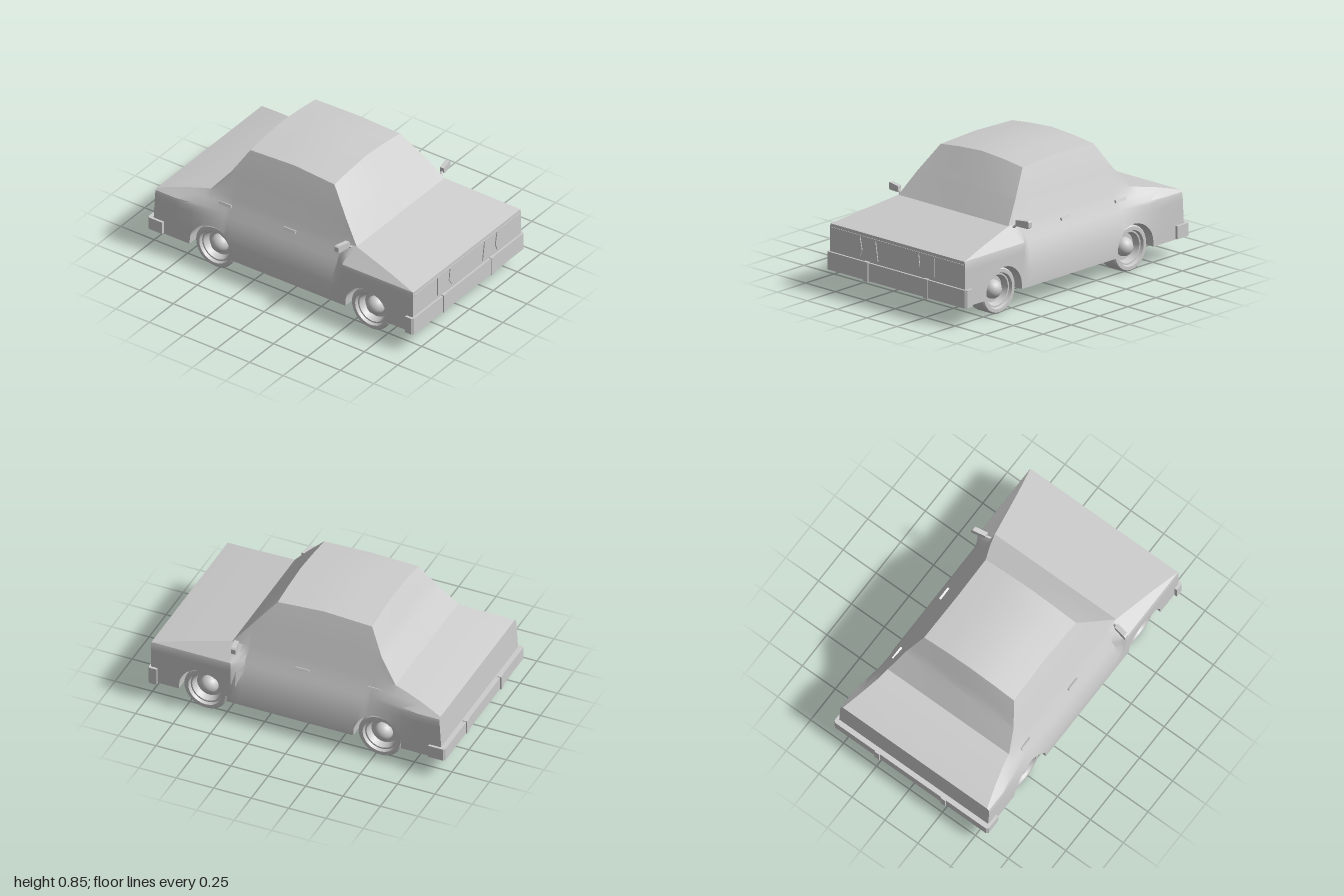
import * as THREE from 'three';
import { toCreasedNormals } from 'three/addons/utils/BufferGeometryUtils.js';

const paint = new THREE.MeshStandardMaterial({ color: 0xcccccc });
paint.name = 'light grey';

const AXLES = [0.635, -0.53], ARCH = 0.16, HUB_Y = 0.147;

// piecewise linear lookup in a table of [key, value] with rising keys
function lerpTable(table, k) {
  if (k <= table[0][0]) return table[0][1];
  for (let i = 1; i < table.length; i++) {
    const [k0, v0] = table[i - 1], [k1, v1] = table[i];
    if (k <= k1) return v0 + (v1 - v0) * (k - k0) / (k1 - k0);
  }
  return table[table.length - 1][1];
}

// side silhouette: [z, height of the upper edge]
const TOP = [[-0.945, 0.432], [-0.8, 0.47], [-0.605, 0.51], [-0.49, 0.65], [-0.395, 0.808], [-0.07, 0.82],
  [0.235, 0.803], [0.368, 0.65], [0.485, 0.51], [0.8, 0.455], [0.98, 0.42]];
// half width by height, at the wings and at the doors
const WING = [[0.13, 0.565], [0.4, 0.565], [0.42, 0.56], [0.46, 0.515], [0.51, 0.46], [0.65, 0.41], [0.82, 0.335]];
const DOOR = [[0.13, 0.565], [0.25, 0.565], [0.36, 0.53], [0.46, 0.483], [0.51, 0.46], [0.65, 0.41], [0.82, 0.335]];
const BLEND = [[-0.8, 1], [-0.45, 0], [0.38, 0], [0.45, 1]];
const LEVELS = [0.25, 0.36, 0.4, 0.42, 0.46, 0.51, 0.65, 0.9];

function halfWidth(y, z) {
  const w = lerpTable(BLEND, z);
  return w * lerpTable(WING, y) + (1 - w) * lerpTable(DOOR, y);
}

function floorY(z) {
  for (const c of AXLES) {
    const d = Math.abs(z - c);
    if (d < ARCH - 1e-4) return 0.15 + Math.sqrt(ARCH * ARCH - d * d);
  }
  return 0.13;
}

// closed cross-section, from the lower left of the car over the roof to the other side
function section(z) {
  const top = lerpTable(TOP, z), low = floorY(z);
  const crown = 0.031 * THREE.MathUtils.clamp((top - 0.51) / 0.29, 0, 1);
  const side = [low, ...LEVELS].map((y) => {
    const h = Math.min(Math.max(y, low), top);
    return [halfWidth(h, z), h];
  });
  const edge = halfWidth(top, z);
  const roof = [0.55, 0, -0.55].map((f) => [edge * f, top + crown * (1 - Math.pow(Math.abs(f), 1.5))]);
  const ring = [...side, ...roof, ...side.slice().reverse().map(([x, y]) => [-x, y])];
  // the tail leans slightly outwards towards the bottom
  return ring.map(([x, y]) => new THREE.Vector3(x, y, z < -0.94 ? z - (0.432 - y) * 0.06 : z));
}

// body shell lofted from front to tail, with wheel tunnels
function bodyGeometry() {
  const zs = TOP.map((p) => p[0]).concat([0.45, 0.42, 0.38, 0.1, -0.25, -0.45]);
  for (const c of AXLES)
    for (let i = 0; i <= 14; i++) zs.push(c + ARCH * Math.cos(Math.PI * i / 14));
  zs.sort((a, b) => b - a);
  const rings = zs.map(section), n = rings[0].length, pos = [];
  const tri = (a, b, c) => {
    const area = b.clone().sub(a).cross(c.clone().sub(a)).length();
    if (area > 1e-8) pos.push(...a, ...b, ...c);
  };
  for (let i = 0; i + 1 < rings.length; i++)
    for (let j = 0; j < n; j++) {
      const k = (j + 1) % n, p = rings[i], q = rings[i + 1];
      tri(p[j], q[j], q[k]);
      tri(p[j], q[k], p[k]);
    }
  const first = rings[0], last = rings[rings.length - 1];
  for (let j = 1; j + 1 < n; j++) {
    tri(first[0], first[j], first[j + 1]);
    tri(last[0], last[j + 1], last[j]);
  }
  const g = new THREE.BufferGeometry();
  g.setAttribute('position', new THREE.Float32BufferAttribute(pos, 3));
  return toCreasedNormals(g, 0.45);
}

function polygon(points) {
  return new THREE.Shape(points.map(([x, y]) => new THREE.Vector2(x, y)));
}

export function createModel() {
  const car = new THREE.Group();
  car.name = 'car';
  const add = (name, geometry, parent = car) => {
    const m = new THREE.Mesh(geometry, paint);
    m.name = name;
    parent.add(m);
    return m;
  };
  const box = (name, w, h, d, x, y, z, parent) => {
    const m = add(name, new THREE.BoxGeometry(w, h, d), parent);
    m.position.set(x, y, z);
    return m;
  };

  add('body', bodyGeometry());

  // wrap-around bumpers: [name, direction, outer z, inner z, end of the wrap, low, high]
  for (const [name, s, out, inn, wrap, low, high] of [
    ['frontBumper', 1, 0.993, 0.972, 0.935, 0.127, 0.242],
    ['rearBumper', -1, 0.99, 0.95, 0.88, 0.137, 0.22]]) {
    const shape = polygon([[-0.585, wrap], [-0.585, out - 0.012], [-0.573, out], [0.573, out], [0.585, out - 0.012],
      [0.585, wrap], [0.568, wrap], [0.568, inn], [-0.568, inn], [-0.568, wrap]].map(([x, z]) => [x, z * s]));
    const g = new THREE.ExtrudeGeometry(shape, { depth: high - low, bevelEnabled: false });
    g.rotateX(Math.PI / 2);
    add(name, g).position.y = high;
    for (const x of [-0.25, 0.25])
      box('overrider', 0.036, high - low + 0.008, 0.03, x, (low + high) / 2, s * (out - 0.008));
  }

  // bonnet lip and the slim ribs beside grille and lamps
  box('bonnetLip', 1.11, 0.008, 0.006, 0, 0.396, 0.981);
  const ribs = [[[0.31, 0.39], [0.31, 0.265], [0.293, 0.31]], [[0.18, 0.39], [0.16, 0.265], [0.19, 0.31]]];
  for (const s of [-1, 1])
    for (const rib of ribs) {
      const g = new THREE.ExtrudeGeometry(polygon(rib.map(([x, y]) => [x * s, y])), { depth: 0.008, bevelEnabled: false });
      add('grilleRib', g).position.z = 0.978;
    }

  // wheels: tyre with dished rim, domed hub
  const profile = [[0, 0.4], [0.13, 0.395], [0.145, 0.405], [0.145, 0.517], [0.137, 0.525], [0.115, 0.525],
    [0.108, 0.505], [0.098, 0.505], [0.085, 0.462], [0, 0.462]];
  const tyre = new THREE.LatheGeometry(profile.map(([r, x]) => new THREE.Vector2(r, x)), 28);
  const wheelGeometry = toCreasedNormals(tyre, 0.5);
  wheelGeometry.rotateZ(-Math.PI / 2);
  const hubGeometry = new THREE.SphereGeometry(0.06, 20, 14);
  for (const z of AXLES) {
    for (const s of [-1, 1]) {
      const wheel = new THREE.Group();
      wheel.name = 'wheel';
      wheel.position.set(0, HUB_Y, z);
      wheel.rotation.y = s > 0 ? 0 : Math.PI;
      add('tyreAndRim', wheelGeometry, wheel);
      add('hub', hubGeometry, wheel).position.x = 0.465;
      car.add(wheel);
    }
    const axle = add('axle', new THREE.CylinderGeometry(0.03, 0.03, 0.82, 12));
    axle.rotation.z = Math.PI / 2;
    axle.position.set(0, HUB_Y, z);
  }

  for (const s of [-1, 1]) {
    // door handles
    for (const z of [0.005, -0.475]) {
      const h = box('doorHandle', 0.02, 0.018, 0.09, s * 0.487, 0.459, z);
      h.rotation.z = s * 0.4;
    }
    // wing mirror on a thin stalk
    const path = new THREE.LineCurve3(new THREE.Vector3(s * 0.455, 0.485, 0.46), new THREE.Vector3(s * 0.505, 0.53, 0.435));
    add('mirrorStalk', new THREE.TubeGeometry(path, 1, 0.008, 8));
    const head = polygon([[0.492, 0.52], [0.5, 0.512], [0.575, 0.507], [0.585, 0.515], [0.585, 0.547],
      [0.575, 0.555], [0.492, 0.55]].map(([x, y]) => [x * s, y]));
    const g = new THREE.ExtrudeGeometry(head, { depth: 0.03, bevelEnabled: false });
    const p = g.attributes.position;
    for (let i = 0; i < p.count; i++) p.setZ(i, p.getZ(i) + 0.412 - (Math.abs(p.getX(i)) - 0.54) * 0.2 + 0.005);
    g.computeVertexNormals();
    add('mirror', g);
  }
  return car;
}
